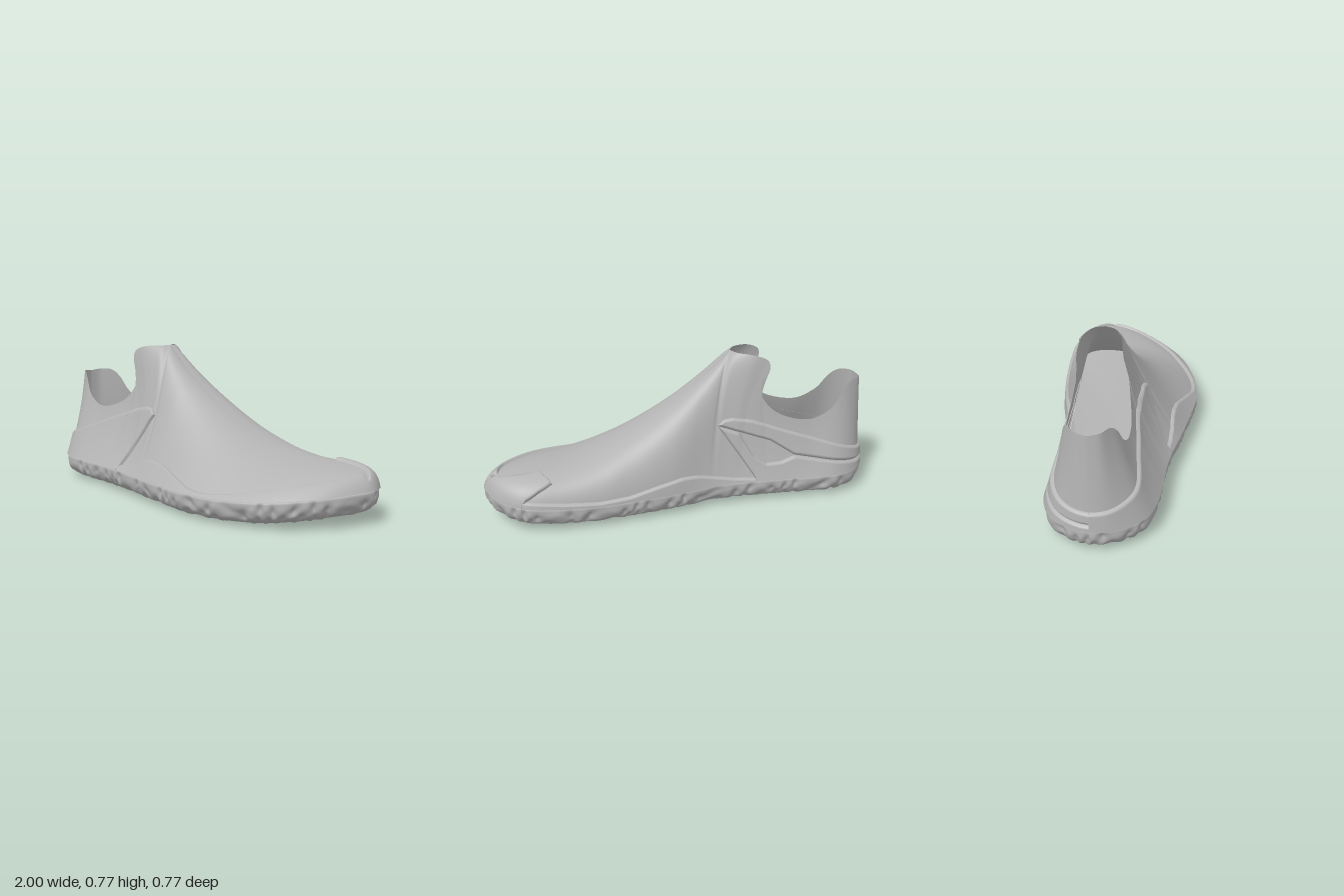
import * as THREE from 'three';
import { mergeVertices } from 'three/addons/utils/BufferGeometryUtils.js';

const V = (x, y, z) => new THREE.Vector3(x, y, z);
const mix = THREE.MathUtils.lerp;

// Piecewise linear lookup in a table of [x, value]
function lookup(table, x) {
  if (x <= table[0][0]) return table[0][1];
  for (let i = 1; i < table.length; i++) {
    const [x0, a] = table[i - 1], [x1, b] = table[i];
    if (x <= x1) return mix(a, b, (x - x0) / (x1 - x0 || 1));
  }
  return table[table.length - 1][1];
}

// Plan outline of the sole: heel, outer side, toe, inner side
const outerEdge = [[-1, -0.02], [-0.97, 0.1], [-0.88, 0.21], [-0.75, 0.255], [-0.4, 0.28], [0, 0.35],
  [0.3, 0.385], [0.55, 0.345], [0.75, 0.255], [0.9, 0.1], [0.98, -0.06]];
const innerEdge = [[1, -0.15], [0.98, -0.22], [0.93, -0.3], [0.82, -0.375], [0.65, -0.39], [0.4, -0.375],
  [0.1, -0.33], [-0.2, -0.265], [-0.5, -0.26], [-0.8, -0.26], [-0.92, -0.2], [-0.975, -0.12]];
const LOOP = 600;
const outline = new THREE.CatmullRomCurve3([...outerEdge, ...innerEdge].map(([x, z]) => V(x, 0, z)), true)
  .getSpacedPoints(LOOP);
let toe = 0;
outline.forEach((p, i) => { if (p.x > outline[toe].x) toe = i; });
const pair = (p) => [p.x, p.z];
const outerZ = outline.slice(0, toe + 1).map(pair);
const innerZ = outline.slice(toe).reverse().map(pair);
const toeLift = (x) => 0.045 * Math.max(0, (x - 0.4) / 0.6) ** 2;

// Columns from heel to toe: rim or ridge x, y, outer z, inner z, and x at the sole
const stations = [
  [-0.96, 0.585, -0.03, -0.03, -1], [-0.945, 0.592, 0.025, -0.085, -0.98], [-0.89, 0.59, 0.06, -0.125, -0.92],
  [-0.84, 0.55, 0.085, -0.15, -0.85], [-0.78, 0.47, 0.105, -0.17, -0.77], [-0.68, 0.42, 0.115, -0.18, -0.67],
  [-0.57, 0.43, 0.115, -0.185, -0.58], [-0.47, 0.475, 0.1, -0.18, -0.51], [-0.405, 0.55, 0.085, -0.17, -0.45],
  [-0.4, 0.63, 0.075, -0.165, -0.4], [-0.44, 0.68, 0.065, -0.16, -0.36], [-0.435, 0.735, 0.057, -0.152, -0.3],
  [-0.37, 0.763, 0.045, -0.142, -0.24], [-0.29, 0.77, 0.005, -0.105, -0.17], [-0.26, 0.77, -0.05, -0.05, -0.11],
  [-0.12, 0.645, -0.05, -0.05, 0], [0.05, 0.52, -0.06, -0.06, 0.13], [0.25, 0.4, -0.08, -0.08, 0.29],
  [0.42, 0.32, -0.12, -0.12, 0.44], [0.58, 0.275, -0.17, -0.17, 0.59], [0.74, 0.262, -0.2, -0.2, 0.75],
  [0.86, 0.25, -0.2, -0.2, 0.88], [0.93, 0.235, -0.18, -0.18, 0.97], [0.96, 0.21, -0.15, -0.15, 1]];
const LAST = stations.length - 1;
const RIDGE = 14;

// Smooth station value; the rim and the ridge are separate curves meeting at a corner
function station(s, k) {
  const i = Math.min(Math.floor(s), LAST - 1), t = s - i;
  const first = k < 4 && i >= RIDGE ? RIDGE : 0, last = k < 4 && i < RIDGE ? RIDGE : LAST;
  const at = (n) => stations[THREE.MathUtils.clamp(n, first, last)][k];
  const p0 = at(i - 1), p1 = at(i), p2 = at(i + 1), p3 = at(i + 2);
  return p1 + 0.5 * t * (p2 - p0 + t * (2 * p0 - 5 * p1 + 4 * p2 - p3 + t * (3 * (p1 - p2) + p3 - p0)));
}

// Bend of each column: outward bulge, depth below the top, forward lean, and flare at the foot
const bulge = [[-1, 0.35], [-0.6, 0.3], [-0.4, 0.14], [-0.24, 0.2], [-0.17, 0.3], [-0.11, 0.42], [0, 0.47], [0.3, 0.5], [0.7, 0.62], [1, 0.7]];
const drop = [[-1, 0.5], [-0.45, 0.45], [-0.3, 0.4], [-0.24, 0.28], [-0.17, 0.12], [-0.11, 0.05], [0, 0.02], [0.15, 0]];
const lean = [[-0.42, 0.4], [-0.36, 1.6], [-0.3, 1.2], [-0.11, 0.6], [0.1, 0.4]];
const flare = [[-0.5, 0], [-0.35, 0.08], [-0.2, 0.18], [-0.1, 0.18], [0.05, 0.13], [0.4, 0]];

// Point on the upper: side is +1 outer or -1 inner, t runs from sole to top
function upperPoint(side, s, t) {
  const bx = THREE.MathUtils.clamp(station(s, 4), -1, 1);
  const zo = lookup(outerZ, bx), zi = lookup(innerZ, bx), mid = (zo + zi) / 2;
  const B = V(bx * 0.988, 0.12 + toeLift(bx), mix(mid, side > 0 ? zo : zi, 0.96));
  const tz = s >= RIDGE ? (station(s, 2) + station(s, 3)) / 2 : station(s, side > 0 ? 2 : 3);
  const T = V(station(s, 0), station(s, 1), tz);
  const extra = side < 0 ? 0.4 * THREE.MathUtils.smoothstep(bx, -0.25, 0.12) : 0;
  const f = Math.min(0.92, lookup(bulge, bx) + extra), d = lookup(drop, bx), k = lookup(lean, bx);
  const w = lookup(flare, bx) * (side > 0 ? 1 : 0.5);
  const toward = (x, y, z) => V(mix(T.x, B.x, x), mix(T.y, B.y, y), mix(T.z, B.z, z));
  const M1 = toward(k * 2 / 3, d * 2 / 3, f * 2 / 3);
  const M2 = toward((1 + 2 * k) / 3, (1 + 2 * d) / 3 + w, (1 + 2 * f) / 3 - w);
  const q = 1 - t;
  return B.multiplyScalar(q ** 3).addScaledVector(M2, 3 * q * q * t)
    .addScaledVector(M1, 3 * q * t * t).addScaledVector(T, t ** 3);
}

function upperNormal(side, s, t) {
  const e = 0.02;
  const ds = upperPoint(side, Math.min(LAST, s + e), t).sub(upperPoint(side, Math.max(0, s - e), t));
  const dt = upperPoint(side, s, Math.min(1, t + e)).sub(upperPoint(side, s, Math.max(0, t - e)));
  return ds.cross(dt).multiplyScalar(side).normalize();
}

function bisect(fn, target, lo, hi) {
  for (let i = 0; i < 20; i++) {
    const m = (lo + hi) / 2;
    if (fn(m) < target) lo = m; else hi = m;
  }
  return (lo + hi) / 2;
}

// Adds a grid of points to shared position and index lists
function addGrid(data, rows, cols, point, flip) {
  const start = data.pos.length / 3, w = cols + 1;
  for (let i = 0; i <= rows; i++) for (let j = 0; j <= cols; j++) data.pos.push(...point(i, j).toArray());
  for (let i = 0; i < rows; i++) for (let j = 0; j < cols; j++) {
    const a = start + i * w + j, b = a + 1, c = b + w, d = a + w;
    data.idx.push(...(flip ? [a, c, b, a, d, c] : [a, b, c, a, c, d]));
  }
}

function smoothGeometry(data) {
  let g = new THREE.BufferGeometry();
  g.setAttribute('position', new THREE.Float32BufferAttribute(data.pos, 3));
  g.setIndex(data.idx);
  g = mergeVertices(g, 1e-5);
  g.computeVertexNormals();
  return g;
}

function upperGeometry() {
  const data = { pos: [], idx: [] }, cols = LAST * 8, rows = 30;
  for (const side of [1, -1])
    addGrid(data, rows, cols, (i, j) => upperPoint(side, j / 8, i / rows), side < 0);
  return smoothGeometry(data);
}

// Raised band lying on the upper between two height tables, for sole x from x0 to x1
function bandGeometry(side, x0, x1, lower, upper) {
  const data = { pos: [], idx: [] }, cols = 150, rows = 20, thick = 0.019;
  const sOf = (x) => bisect((s) => station(s, 4), x, 0, LAST);
  const s0 = x0 <= -1 ? 0 : sOf(x0), s1 = x1 >= 1 ? LAST : sOf(x1);
  const columns = [];
  for (let j = 0; j <= cols; j++) {
    const s = mix(s0, s1, j / cols);
    const tOf = (table) => bisect((t) => {
      const p = upperPoint(side, s, t);
      return p.y - lookup(table, p.x);
    }, 0, 0, 0.92);
    const lo = tOf(lower), hi = Math.max(lo, tOf(upper));
    columns.push({ s, lo, hi, height: upperPoint(side, s, lo).distanceTo(upperPoint(side, s, hi)) });
  }
  addGrid(data, rows, cols, (i, j) => {
    const { s, lo, hi, height } = columns[j], v = i / rows, t = mix(lo, hi, v);
    const fromEdge = lo < 0.001 ? 1 - v : Math.min(v, 1 - v);
    const rise = thick * Math.sqrt(Math.min(1, fromEdge * height / 0.014)) - 0.004;
    return upperPoint(side, s, t).addScaledVector(upperNormal(side, s, t), rise);
  }, side < 0);
  return smoothGeometry(data);
}

// Sole: rounded profile swept round the outline, with uneven tiers of lugs
function soleGeometry() {
  const data = { pos: [], idx: [] };
  const profile = new THREE.SplineCurve([[0.13, 0.004], [0.085, 0.006], [0.05, 0.02], [0.02, 0.046],
    [0.006, 0.075], [0.003, 0.1], [0.008, 0.122], [0.045, 0.11]].map(([a, b]) => new THREE.Vector2(a, b))).getPoints(28);
  const bell = (y, c, w) => Math.exp(-(((y - c) / w) ** 2));
  const rows = profile.length + 1;
  addGrid(data, rows, LOOP, (i, j) => {
    if (i === 0) return V(0, 0.003, 0);
    if (i === rows) return V(0, 0.1, 0);
    const n = j % LOOP, p = outline[n], q = profile[i - 1], a = 2 * Math.PI * n / LOOP;
    const before = outline[(n + LOOP - 1) % LOOP], after = outline[(n + 1) % LOOP];
    const len = Math.hypot(after.x - before.x, after.z - before.z);
    const nx = (before.z - after.z) / len, nz = (after.x - before.x) / len;
    const wander = 1.3 * Math.sin(a * 7) + 0.8 * Math.sin(a * 17 + 1);
    const lug = (count, phase) => Math.abs(Math.sin(count * a / 2 + phase + wander));
    const outer = i < rows - 5 ? 1 : 0;
    const out = outer * (0.018 * (lug(46, 0) - 0.85) * bell(q.y, 0.08 + 0.012 * Math.sin(a * 23), 0.022)
      + 0.02 * (lug(58, 1.2) - 0.75) * bell(q.y, 0.04 + 0.008 * Math.sin(a * 19), 0.016)) - q.x;
    const rise = outer * 0.012 * lug(50, 0.5) * bell(q.x, 0.07, 0.022);
    return V(p.x + nx * out, q.y + rise + toeLift(p.x), p.z + nz * out);
  }, false);
  return smoothGeometry(data);
}

export function createModel() {
  const group = new THREE.Group();
  const grey = new THREE.MeshStandardMaterial({ color: 0xb4b4b4, side: THREE.DoubleSide });
  grey.name = 'grey';
  const add = (name, geometry) => {
    const mesh = new THREE.Mesh(geometry, grey);
    mesh.name = name;
    group.add(mesh);
  };

  add('upper', upperGeometry());
  add('sole', soleGeometry());

  // Low rand round the forefoot
  const floor = [[-1, 0.08], [1, 0.08]];
  add('outerRand', bandGeometry(1, -0.4, 1, floor, [[-0.37, 0.1], [-0.31, 0.15], [-0.25, 0.155], [-0.18, 0.175],
    [-0.1, 0.21], [-0.04, 0.22], [0.03, 0.215], [0.15, 0.185], [0.3, 0.145], [0.37, 0.138], [0.45, 0.138], [0.55, 0.147],
    [0.7, 0.175], [0.9, 0.22], [0.95, 0.25]]));
  add('innerRand', bandGeometry(-1, -0.45, 1, floor, [[-0.42, 0.1], [-0.36, 0.14], [-0.25, 0.15], [-0.15, 0.17],
    [-0.05, 0.195], [0.03, 0.2], [0.15, 0.18], [0.3, 0.15], [0.45, 0.142], [0.62, 0.155], [0.8, 0.175], [1, 0.2]]));

  // Cap over the big toe, with a rounded tip pointing back
  add('toeCap', bandGeometry(-1, 0.6, 1, [[0.67, 0.235], [0.74, 0.205], [0.8, 0.17], [0.84, 0.1]],
    [[0.67, 0.235], [0.69, 0.252], [0.72, 0.262], [0.77, 0.28]]));

  // Heel panels sweeping up to a pointed front corner
  const sweep = [[-1, 0.21], [-0.75, 0.3], [-0.5, 0.385], [-0.35, 0.44], [-0.25, 0.457], [-0.2, 0.45], [-0.17, 0.42]];
  add('outerHeelPanel', bandGeometry(1, -1, 0, [[-0.33, 0.08], [-0.31, 0.15], [-0.17, 0.42]], sweep));

  // Inner heel panel in two arms round an open slot
  const slotTop = [[-1, 0.15], [-0.57, 0.24], [-0.45, 0.32], [-0.28, 0.38], [-0.17, 0.42]];
  const slotBottom = [[-1, 0.15], [-0.57, 0.24], [-0.5, 0.215], [-0.42, 0.21], [-0.35, 0.26], [-0.28, 0.38], [-0.17, 0.42]];
  add('innerHeelUpperArm', bandGeometry(-1, -1, 0, slotTop, sweep));
  add('innerHeelLowerArm', bandGeometry(-1, -1, 0, [[-0.38, 0.08], [-0.36, 0.14], [-0.17, 0.42]], slotBottom));

  return group;
}
